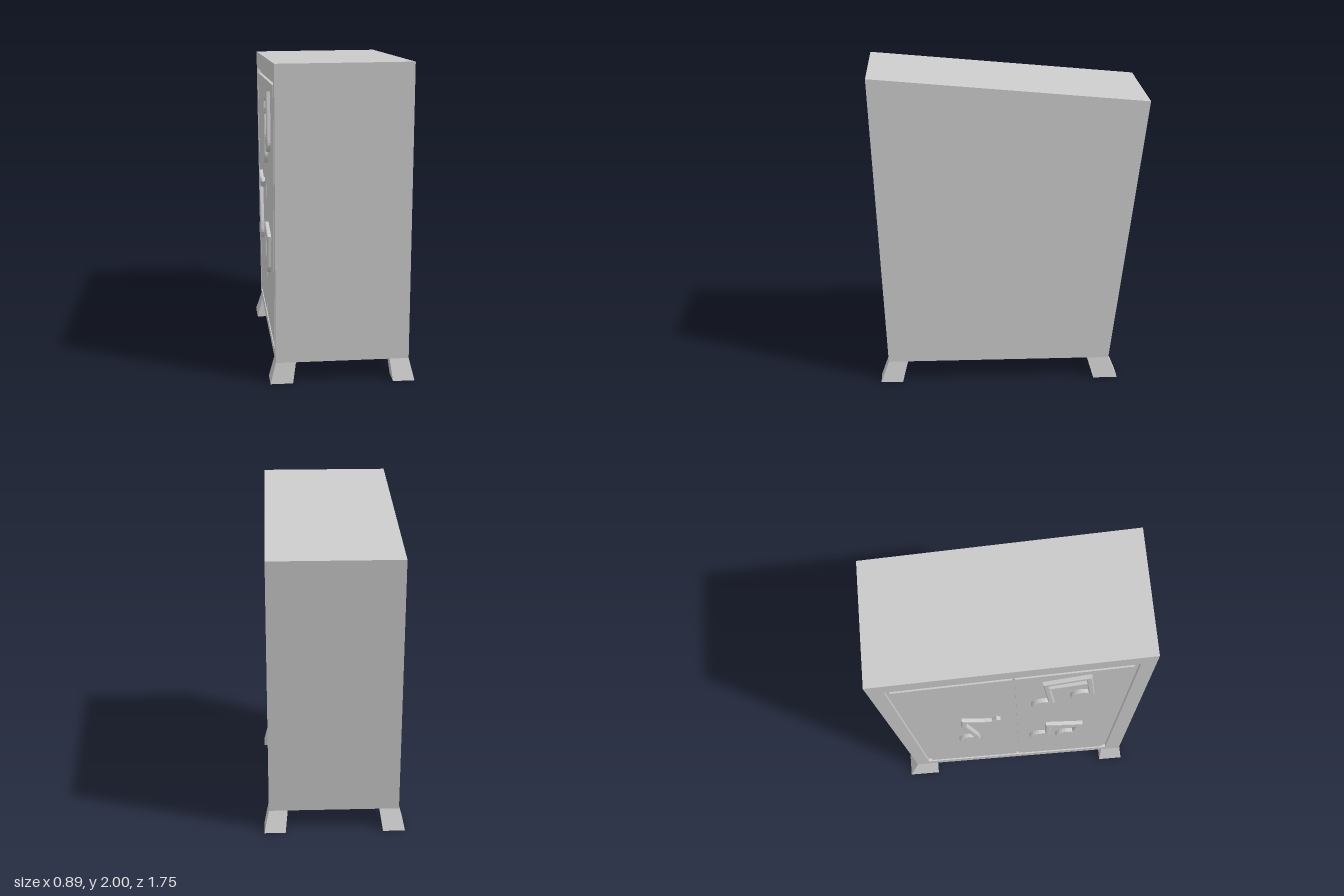
import * as THREE from 'three';

const material = new THREE.MeshStandardMaterial({ color: 0xcccccc, flatShading: true });
const SIDE = 0.415, GROOVE = 0.02;

const toPoints = (list) => list.map(([z, y]) => new THREE.Vector2(z, y));

// Extrudes an outline given in (z, y) from x towards -x.
function slab(name, shape, x, depth, bevel = 0) {
  const geometry = new THREE.ExtrudeGeometry(shape, {
    depth: depth - bevel, bevelEnabled: bevel > 0, bevelThickness: bevel,
    bevelSize: bevel, bevelOffset: -bevel, bevelSegments: 2, curveSegments: 10,
  });
  geometry.rotateY(-Math.PI / 2).translate(x, 0, 0);
  const mesh = new THREE.Mesh(geometry, material);
  mesh.name = name;
  return mesh;
}

// Closed outline of constant width along a polyline, with mitred corners.
function ribbon(list, width) {
  const p = toPoints(list), left = [], right = [];
  p.forEach((point, i) => {
    const a = p[Math.max(i - 1, 0)], b = p[Math.min(i + 1, p.length - 1)];
    const d1 = (i > 0 ? point.clone().sub(a) : b.clone().sub(point)).normalize();
    const d2 = (i < p.length - 1 ? b.clone().sub(point) : d1.clone()).normalize();
    const n1 = new THREE.Vector2(-d1.y, d1.x), n2 = new THREE.Vector2(-d2.y, d2.x);
    const miter = n1.clone().add(n2).normalize();
    miter.multiplyScalar(width / 2 / Math.max(miter.dot(n1), 0.5));
    left.push(point.clone().add(miter));
    right.unshift(point.clone().sub(miter));
  });
  return new THREE.Shape([...left, ...right]);
}

// Raised music note: oval heads plus stems and beams.
function note(name, heads, strokes) {
  const group = new THREE.Group();
  group.name = name;
  for (const [z, y] of heads) {
    const oval = new THREE.Shape();
    oval.absellipse(z, y, 0.07, 0.058, 0, Math.PI * 2, false, 0.45);
    group.add(slab('noteHead', oval, -SIDE + 0.005, 0.03, 0.007));
  }
  for (const [width, ...path] of strokes) {
    group.add(slab('noteStroke', ribbon(path, width), -SIDE + 0.005, 0.03, 0.007));
  }
  return group;
}

// Splayed foot: a box whose bottom corners are moved outwards.
function leg(name, top, bottom) {
  const geometry = new THREE.BoxGeometry(1, 1, 1);
  const p = geometry.attributes.position;
  for (let i = 0; i < p.count; i++) {
    const [x0, x1, z0, z1] = p.getY(i) > 0 ? top : bottom;
    p.setXYZ(i, p.getX(i) > 0 ? x1 : x0, p.getY(i) > 0 ? 0.13 : 0, p.getZ(i) > 0 ? z1 : z0);
  }
  geometry.computeVertexNormals();
  const mesh = new THREE.Mesh(geometry, material);
  mesh.name = name;
  return mesh;
}

export function createModel() {
  const model = new THREE.Group();
  model.name = 'cabinet';

  // Tapered body with a sloping top
  const outline = [[-0.65, 0.13], [0.78, 0.13], [0.875, 2], [-0.875, 1.84]];
  model.add(slab('body', new THREE.Shape(toPoints(outline)), SIDE, 2 * SIDE - GROOVE));

  // Frame round the door opening
  const frame = new THREE.Shape(toPoints(outline));
  frame.holes.push(new THREE.Path(toPoints([[-0.57, 0.18], [-0.76, 1.74], [0.775, 1.885], [0.68, 0.18]])));
  model.add(slab('doorFrame', frame, -SIDE + GROOVE, GROOVE));

  // Two doors separated from the frame and each other by a groove
  const doors = {
    backDoor: [[-0.54, 0.21], [0.05, 0.21], [0.01, 1.783], [-0.727, 1.713]],
    frontDoor: [[0.067, 0.21], [0.65, 0.21], [0.742, 1.852], [0.027, 1.785]],
  };
  for (const [name, corners] of Object.entries(doors)) {
    model.add(slab(name, new THREE.Shape(toPoints(corners)), -SIDE + GROOVE, GROOVE));
  }

  // Notes on the doors
  model.add(note('singleNote', [[-0.27, 0.71]], [
    [0.036, [-0.215, 0.72], [-0.225, 0.78], [-0.3, 1.0], [-0.295, 1.09], [-0.17, 1.06], [-0.11, 1.06], [-0.075, 1.1]],
  ]));
  model.add(note('lowerDoubleNote', [[0.2, 0.66], [0.375, 0.655]], [
    [0.036, [0.255, 0.67], [0.255, 0.87], [0.46, 0.84], [0.43, 0.66]],
    [0.04, [0.255, 0.85], [0.455, 0.82]],
  ]));
  model.add(note('upperDoubleNote', [[0.2, 0.0 + 1.33], [0.44, 1.45]], [
    [0.036, [0.26, 1.34], [0.215, 1.69], [0.475, 1.755], [0.505, 1.46]],
    [0.036, [0.225, 1.61], [0.485, 1.665]],
  ]));

  // Four splayed legs
  model.add(leg('frontLeftLeg', [0.295, SIDE, 0.655, 0.78], [0.31, 0.445, 0.69, 0.83]));
  model.add(leg('frontRightLeg', [-SIDE, -0.29, 0.655, 0.78], [-0.45, -0.31, 0.645, 0.8]));
  model.add(leg('backLeftLeg', [0.295, SIDE, -0.65, -0.51], [0.31, 0.445, -0.705, -0.55]));
  model.add(leg('backRightLeg', [-SIDE, -0.29, -0.65, -0.51], [-0.45, -0.31, -0.705, -0.51]));
  return model;
}
